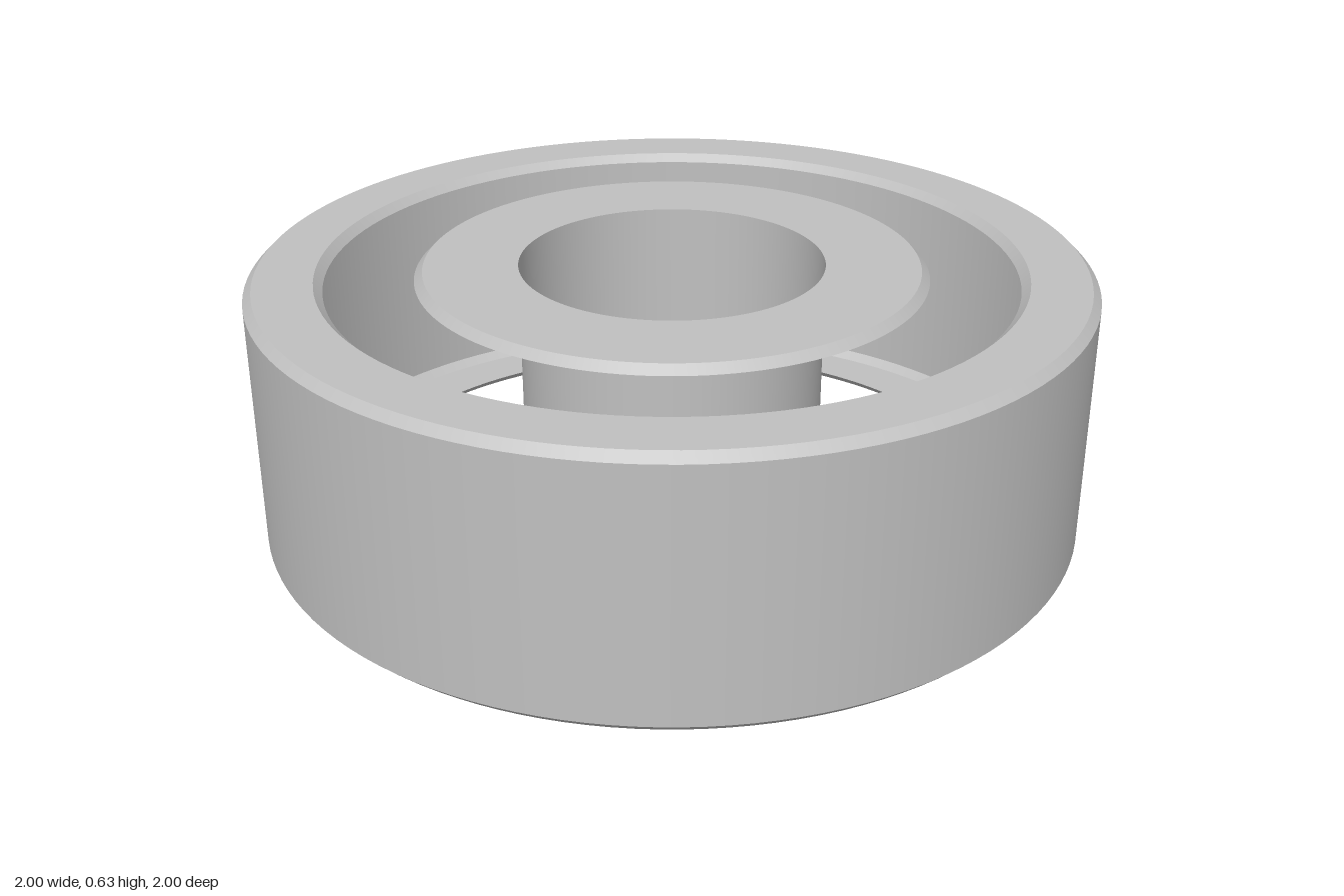
import * as THREE from 'three';
import { mergeGeometries } from 'three/addons/utils/BufferGeometryUtils.js';

const H = 0.635; // overall height
const C = 0.02;  // chamfer size

// Revolve each straight run separately so the edges stay sharp
function revolve(profile, name, material) {
  const bands = [];
  for (let i = 0; i < profile.length - 1; i++) {
    const run = [profile[i], profile[i + 1]].map(([r, y]) => new THREE.Vector2(r, y));
    bands.push(new THREE.LatheGeometry(run, 128));
  }
  const mesh = new THREE.Mesh(mergeGeometries(bands), material);
  mesh.name = name;
  return mesh;
}

export function createModel() {
  const steel = new THREE.MeshStandardMaterial({ color: 0xc0c0c0, side: THREE.DoubleSide });
  steel.name = 'steel';

  const group = new THREE.Group();
  group.name = 'bearingRings';

  // Outer race: open on the inside, between its two chamfered lips
  group.add(revolve([
    [0.82, C], [0.82 + C, 0], [1 - C, 0], [1, C],
    [1, H - C], [1 - C, H], [0.82 + C, H], [0.82, H - C],
  ], 'outerRace', steel));

  // Inner race: bore tube with a thin chamfered flange at each end
  group.add(revolve([
    [0.61, H - C], [0.61 - C, H], [0.365, H],
    [0.365, 0], [0.61 - C, 0], [0.61, C],
  ], 'innerRace', steel));

  return group;
}
